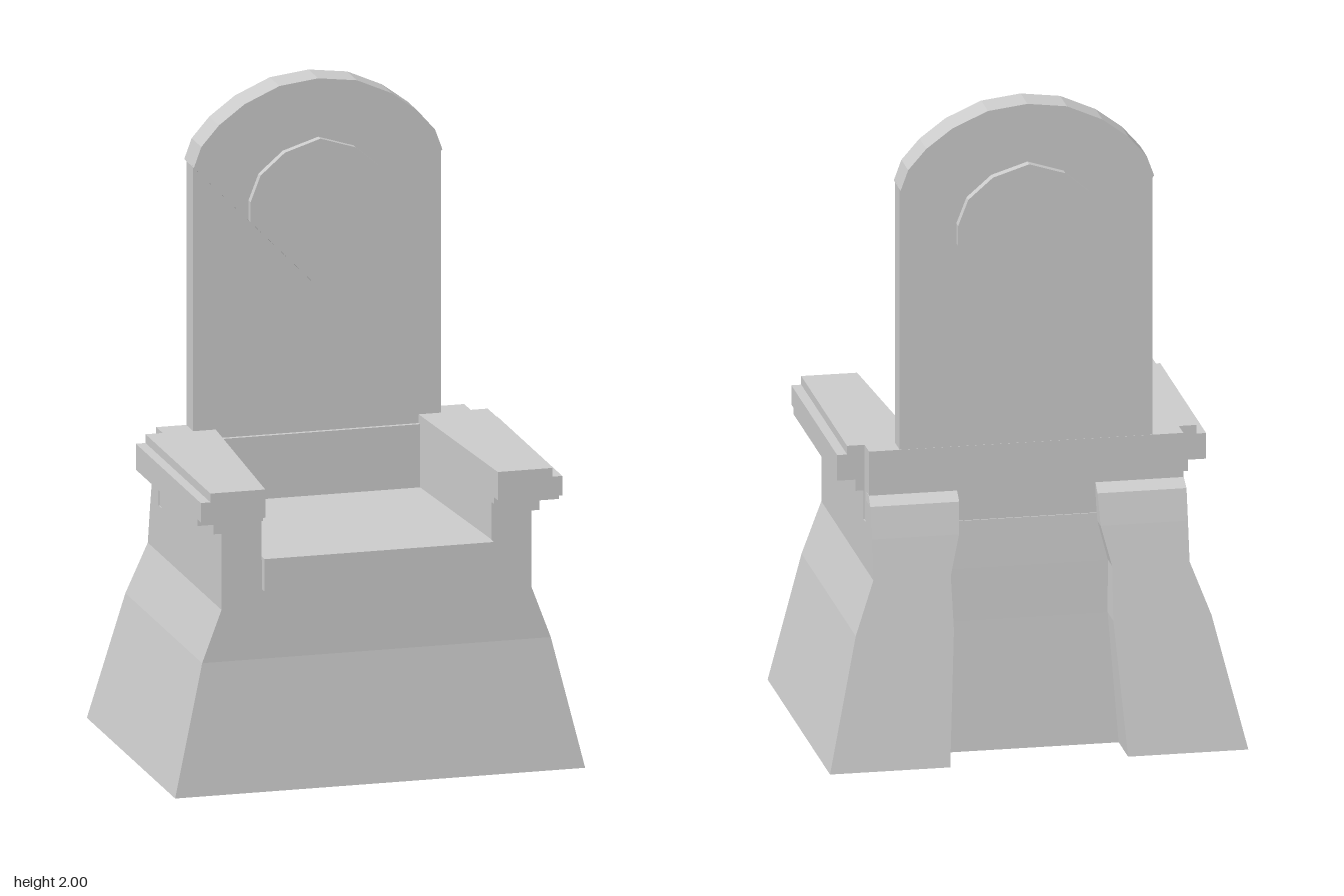
import * as THREE from 'three';

const material = new THREE.MeshStandardMaterial({ color: 0xcccccc, flatShading: true });

// Solid through stacked rings; each ring is { y, pts: [[x, z], ...] }, counter-clockwise from above.
function loft(rings) {
  const n = rings[0].pts.length, pos = [], idx = [];
  for (const { y, pts } of rings) for (const [x, z] of pts) pos.push(x, y, z);
  for (let i = 0; i < rings.length - 1; i++) {
    for (let j = 0; j < n; j++) {
      const a = i * n + j, b = i * n + (j + 1) % n;
      idx.push(a, b, b + n, a, b + n, a + n);
    }
  }
  const top = (rings.length - 1) * n;
  for (let j = 1; j < n - 1; j++) {
    idx.push(top, top + j, top + j + 1);
    idx.push(0, j + 1, j);
  }
  const g = new THREE.BufferGeometry();
  g.setAttribute('position', new THREE.Float32BufferAttribute(pos, 3));
  g.setIndex(idx);
  const flat = g.toNonIndexed();
  flat.computeVertexNormals();
  return flat;
}

// Four-cornered ring; side -1 mirrors it across x = 0 and keeps the winding.
function mirrored(pts, side) {
  return side > 0 ? pts : pts.map(([x, z]) => [-x, z]).reverse();
}

function box(x, y0, y1, z0, z1) {
  const g = new THREE.BoxGeometry(2 * x, y1 - y0, z1 - z0);
  return g.translate(0, (y0 + y1) / 2, (z0 + z1) / 2);
}

// Symmetrical plate from the right half of its outline, lowest point first.
function plate(half, z0, z1) {
  const left = half.slice(1, -1).reverse().map(([x, y]) => [-x, y]);
  const shape = new THREE.Shape([...half, ...left].map(([x, y]) => new THREE.Vector2(x, y)));
  return new THREE.ExtrudeGeometry(shape, { depth: z1 - z0, bevelEnabled: false }).translate(0, 0, z0);
}

export function createModel() {
  const model = new THREE.Group();
  const add = (name, geometry, parent = model) => {
    const mesh = new THREE.Mesh(geometry, material);
    mesh.name = name;
    parent.add(mesh);
  };

  // Flared pedestal: [y, half width, front z, back z]
  const levels = [[0, 0.635, 0.47, -0.34], [0.4, 0.54, 0.43, -0.312], [0.56, 0.48, 0.43, -0.301], [0.705, 0.48, 0.43, -0.29]];
  add('pedestal', loft(levels.map(([y, x, f, b]) => ({ y, pts: [[x, f], [x, b], [-x, b], [-x, f]] }))));

  // Seat and the low backrest behind it
  add('seat', box(0.355, 0.615, 0.715, -0.21, 0.46));
  add('seatBack', box(0.34, 0.7, 0.91, -0.24, -0.198));
  add('rearWall', box(0.477, 0.7, 0.937, -0.286, -0.212));

  // Tall back panel
  add('backPanel', box(0.384, 0.7, 1.755, -0.285, -0.211));

  // Rounded crest and raised medallion, both pointed below
  add('crest', plate([[0, 1.355], [0.385, 1.752], [0.362, 1.815], [0.307, 1.878], [0.228, 1.937],
    [0.12, 1.985], [0, 2]], -0.305, -0.2));
  add('medallion', plate([[0, 1.355], [0.216, 1.578], [0.216, 1.64], [0.185, 1.72], [0.11, 1.785],
    [0, 1.82]], -0.333, -0.176));

  // Armrest steps: [name, outer x, front z, bottom, top]
  const steps = [
    ['armWall', 0.48, 0.43, 0.7, 0.795],
    ['armMoulding', 0.505, 0.43, 0.795, 0.83],
    ['armUnderside', 0.56, 0.45, 0.83, 0.85],
    ['armSlab', 0.56, 0.485, 0.85, 0.91],
    ['armTop', 0.53, 0.485, 0.91, 0.937],
  ];
  // Buttress levels: [y, outer x, inner x, back z]
  const buttress = [
    [0, 0.635, 0.27, -0.485], [0.4, 0.54, 0.242, -0.4], [0.56, 0.48, 0.245, -0.367],
    [0.68, 0.48, 0.215, -0.342], [0.775, 0.48, 0.21, -0.32], [0.8, 0.478, 0.21, -0.285],
  ];
  const inner = z => 0.315 + 0.066 * (z + 0.2);
  for (const side of [1, -1]) {
    const label = side > 0 ? 'left' : 'right';
    const arm = new THREE.Group();
    arm.name = label + 'Armrest';
    model.add(arm);
    for (const [name, x, f, y0, y1] of steps) {
      const b = -0.217;
      const pts = mirrored([[x, f], [x, b], [inner(b), b], [inner(f), f]], side);
      add(name, loft([{ y: y0, pts }, { y: y1, pts }]), arm);
    }
    add(label + 'Buttress', loft(buttress.map(([y, xo, xi, b]) => (
      { y, pts: mirrored([[xo, -0.25], [xo, b], [xi, b], [xi, -0.25]], side) }))));
  }
  return model;
}
